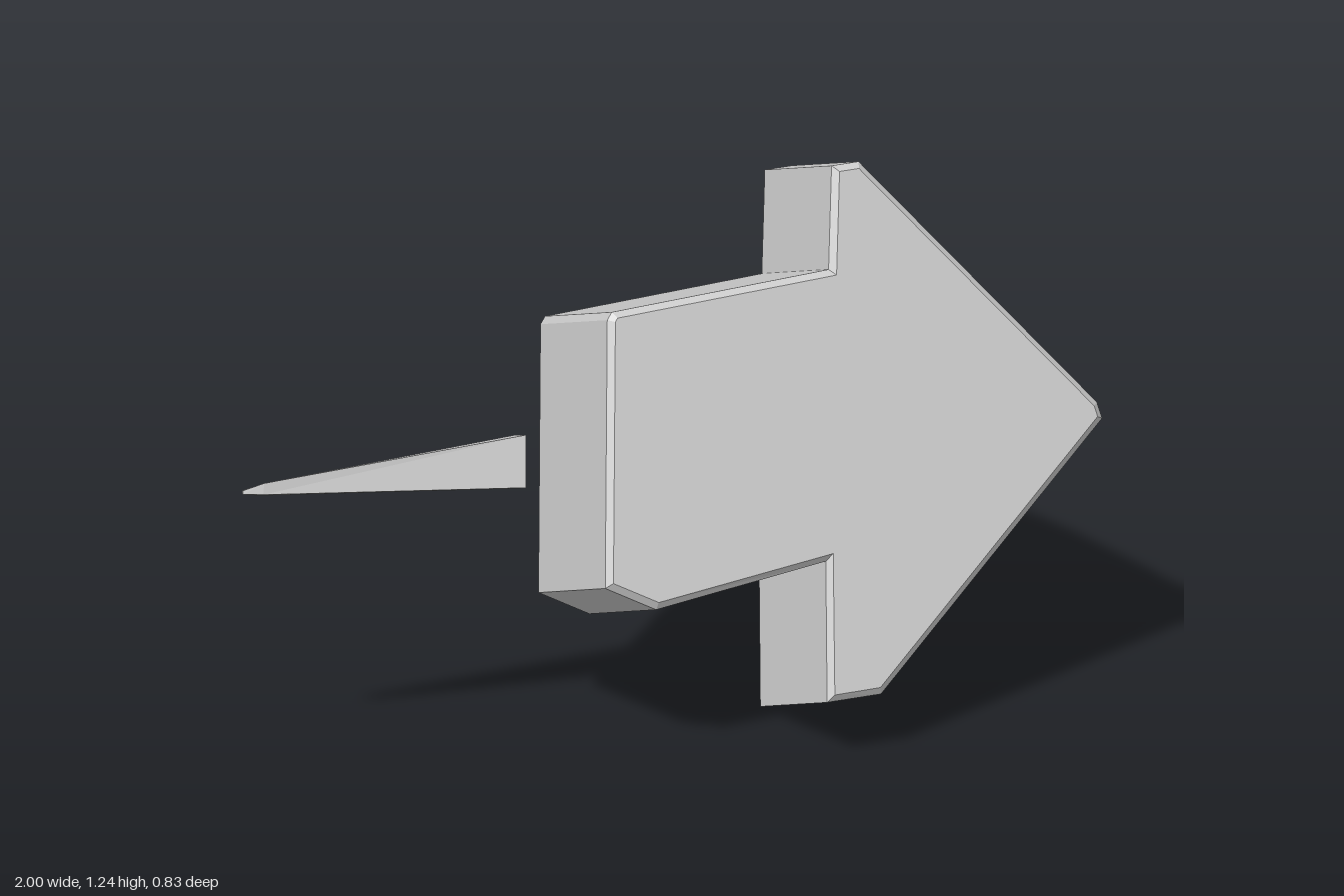
import * as THREE from 'three';

const material = () => new THREE.MeshStandardMaterial({ color: 0xcccccc, flatShading: true });

// Thick arrow-shaped block: an outline extruded with a fine chamfer, then tilted
function makeArrowBlock() {
  const outline = [
    [0.425, 1.25], [0.49, 1.25],     // upper barb
    [0.99, 0.68], [0.998, 0.645],    // point
    [0.4, 0.15], [0.27, 0.15],       // lower barb
    [0.305, 0.44],                   // lower notch
    [-0.11, 0.395], [-0.225, 0.455], // cut corner of the shaft
    [-0.148, 1.005], [-0.135, 1.02],
    [0.39, 1.038],                   // upper notch
  ].map(([x, y]) => new THREE.Vector2(x, y));

  const bevel = 0.014, thickness = 0.43;
  const geo = new THREE.ExtrudeGeometry(new THREE.Shape(outline), {
    depth: thickness - 2 * bevel, bevelEnabled: true, bevelSegments: 1,
    bevelSize: bevel, bevelOffset: -bevel, bevelThickness: bevel,
  });
  geo.translate(0, 0, bevel - thickness); // front face at local z = 0

  // Lean the front face back while its outline keeps its place in x and y
  const slopeX = -0.0875, slopeY = -0.385;
  const normal = new THREE.Vector3(-slopeX, -slopeY, 1).normalize();
  const tilt = new THREE.Matrix4().makeBasis(
    new THREE.Vector3(1, 0, slopeX), new THREE.Vector3(0, 1, slopeY), normal);
  tilt.setPosition(0, 0, 0.498);
  geo.applyMatrix4(tilt);
  geo.computeVertexNormals();

  const mesh = new THREE.Mesh(geo, material());
  mesh.name = 'arrowBlock';
  return mesh;
}

// Four-sided spike lofted through cross-sections, from the wide base to the tip
function makeSpike() {
  // corners: front top, front bottom, back bottom, back top
  const rings = [
    [[-0.32, 0.725, 0.052], [-0.335, 0.618, 0.098], [-0.338, 0.595, 0.04], [-0.323, 0.703, -0.01]],
    [[-0.95, 0.706, 0.104], [-0.955, 0.682, 0.111], [-0.957, 0.675, 0.097], [-0.952, 0.698, 0.088]],
    [[-1, 0.694, 0.103], [-1, 0.686, 0.106], [-1, 0.684, 0.1], [-1, 0.692, 0.097]],
  ];
  const pos = [];
  const quad = (a, b, c, d) => pos.push(...a, ...b, ...c, ...a, ...c, ...d);

  quad(...rings[0]);
  for (let i = 0; i < rings.length - 1; i++) {
    for (let k = 0; k < 4; k++) {
      const n = (k + 1) % 4;
      quad(rings[i][k], rings[i + 1][k], rings[i + 1][n], rings[i][n]);
    }
  }
  quad(...[...rings[rings.length - 1]].reverse());

  const geo = new THREE.BufferGeometry();
  geo.setAttribute('position', new THREE.Float32BufferAttribute(pos, 3));
  geo.computeVertexNormals();
  const mesh = new THREE.Mesh(geo, material());
  mesh.name = 'spike';
  return mesh;
}

export function createModel() {
  const group = new THREE.Group();
  group.name = 'arrowWithSpike';
  group.add(makeArrowBlock(), makeSpike());
  return group;
}
